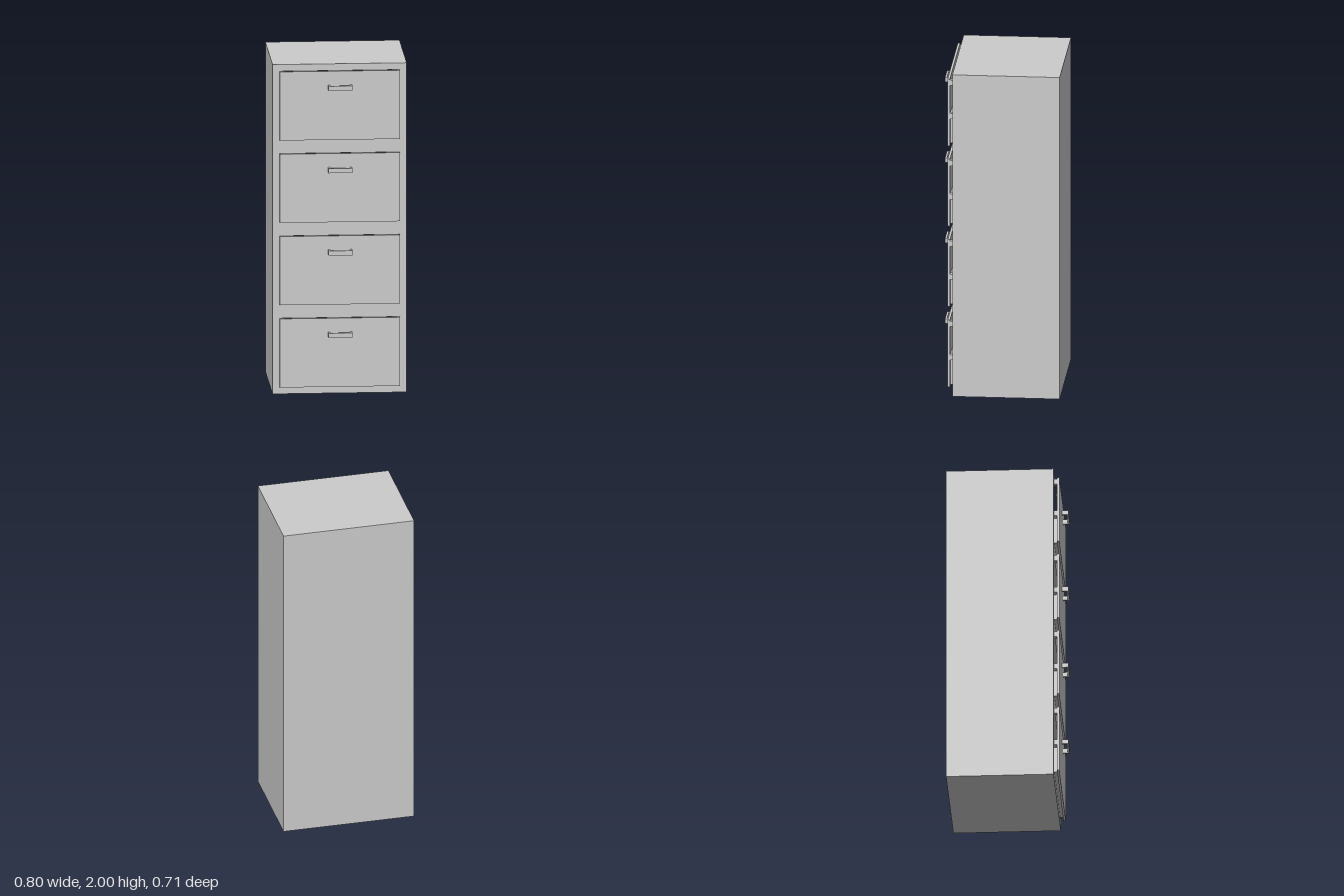
import * as THREE from 'three';

const grey = new THREE.MeshStandardMaterial({ color: 0xcccccc });
const HALF_W = 0.399, HEIGHT = 2, BACK = -0.356, FRONT = 0.283;
const DRAWERS = 4, PITCH = 0.5;

// Box given by its two extreme corners
function block(name, [x0, y0, z0], [x1, y1, z1]) {
  const mesh = new THREE.Mesh(new THREE.BoxGeometry(x1 - x0, y1 - y0, z1 - z0), grey);
  mesh.position.set((x0 + x1) / 2, (y0 + y1) / 2, (z0 + z1) / 2);
  mesh.name = name;
  return mesh;
}

function rectangle(Type, x0, y0, x1, y1) {
  return new Type().moveTo(x0, y0).lineTo(x1, y0).lineTo(x1, y1).lineTo(x0, y1).closePath();
}

// Sheet-metal shell: five outer walls and a front frame with drawer openings
function createCabinet() {
  const cabinet = new THREE.Group();
  cabinet.name = 'cabinet';

  const shell = block('cabinetShell', [-HALF_W, 0, BACK], [HALF_W, HEIGHT, FRONT]);
  const index = Array.from(shell.geometry.index.array);
  index.splice(24, 6); // leave the front face open
  shell.geometry.setIndex(index);
  shell.geometry.clearGroups();

  const face = rectangle(THREE.Shape, -HALF_W, 0, HALF_W, HEIGHT);
  for (let i = 0; i < DRAWERS; i++) {
    const y = i * PITCH;
    face.holes.push(rectangle(THREE.Path, -0.357, y + 0.047, 0.357, y + 0.459));
  }
  const frame = new THREE.Mesh(new THREE.ShapeGeometry(face), grey);
  frame.position.z = FRONT;
  frame.name = 'frontFrame';

  cabinet.add(shell, frame);
  return cabinet;
}

// U-shaped pull handle
function createHandle() {
  const shape = new THREE.Shape();
  [[-0.071, 0], [-0.071, 0.04], [0.071, 0.04], [0.071, 0], [0.059, 0], [0.059, 0.028], [-0.059, 0.028], [-0.059, 0]]
    .forEach(([x, z], i) => (i ? shape.lineTo(x, z) : shape.moveTo(x, z)));
  const geometry = new THREE.ExtrudeGeometry(shape, { depth: 0.028, bevelEnabled: false });
  geometry.rotateX(Math.PI / 2);
  const handle = new THREE.Mesh(geometry, grey);
  handle.position.set(0, 0.379, 0.315);
  handle.name = 'handle';
  return handle;
}

// Front panel, low tray, hanging rails and slides
function createDrawer() {
  const drawer = new THREE.Group();
  drawer.add(
    block('drawerFront', [-0.358, 0.045, 0.301], [0.358, 0.462, 0.315]),
    createHandle(),
    block('trayBottom', [-0.318, 0.05, -0.33], [0.318, 0.058, 0.301]),
    block('trayBack', [-0.318, 0.058, -0.33], [0.318, 0.24, -0.32]),
    block('trayFront', [-0.31, 0.058, 0.29], [0.31, 0.24, 0.301])
  );
  for (const side of [-1, 1]) {
    const sidePart = (name, xIn, xOut, y0, y1) => block(name,
      [Math.min(side * xIn, side * xOut), y0, -0.32],
      [Math.max(side * xIn, side * xOut), y1, 0.301]);
    drawer.add(
      sidePart('traySide', 0.31, 0.318, 0.058, 0.24),
      sidePart('slide', 0.318, 0.356, 0.212, 0.245),
      sidePart('hangingRail', 0.325, 0.356, 0.42, 0.453)
    );
  }
  return drawer;
}

export function createModel() {
  const model = new THREE.Group();
  model.name = 'filingCabinet';
  model.add(createCabinet());
  for (let i = 0; i < DRAWERS; i++) {
    const drawer = createDrawer();
    drawer.position.y = i * PITCH;
    drawer.name = `drawer${i + 1}`;
    model.add(drawer);
  }
  return model;
}
